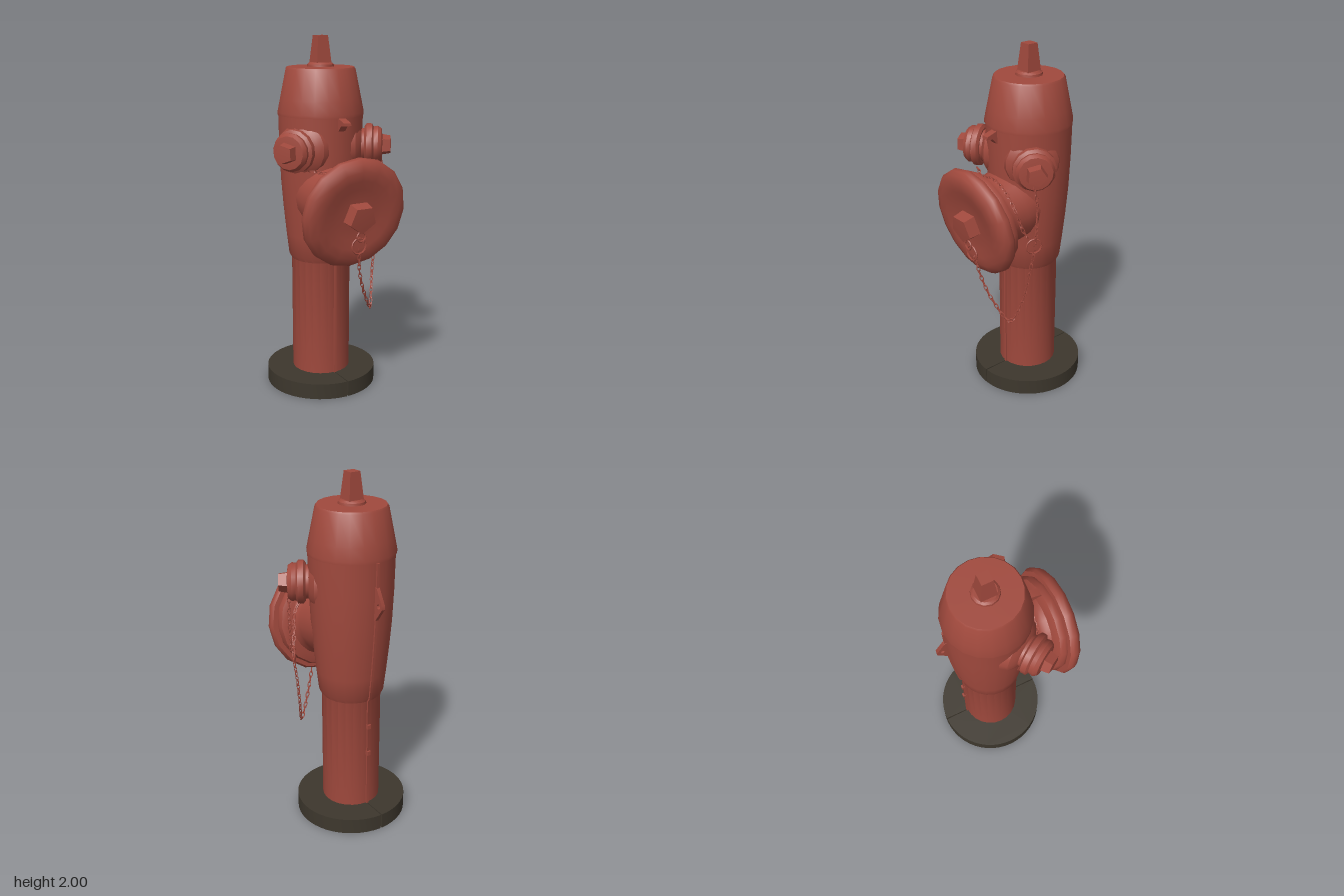
import * as THREE from 'three';
import { toCreasedNormals } from 'three/addons/utils/BufferGeometryUtils.js';

const AX = 0.01, AZ = -0.08; // vertical axis of the barrel
const UP = new THREE.Vector3(0, 1, 0);

const red = new THREE.MeshStandardMaterial({ color: 0xa0493d });
red.name = 'red paint';
const dark = new THREE.MeshStandardMaterial({ color: 0x3d372d });
dark.name = 'dark iron';

function mesh(parent, name, geometry, material = red, crease = 0.6) {
  const m = new THREE.Mesh(toCreasedNormals(geometry, crease), material);
  m.name = name;
  parent.add(m);
  return m;
}

function lathe(points, segments) {
  return new THREE.LatheGeometry(points.map(([r, y]) => new THREE.Vector2(r, y)), segments);
}

// group whose local y axis points along dir
function aimed(parent, name, pos, dir) {
  const g = new THREE.Group();
  g.name = name;
  g.position.set(...pos);
  g.quaternion.setFromUnitVectors(UP, new THREE.Vector3(...dir).normalize());
  parent.add(g);
  return g;
}

// thin plate drawn in (radius, height), standing out from the barrel axis
function fin(parent, name, points, width, turn, hole) {
  const s = new THREE.Shape(points.map(([x, y]) => new THREE.Vector2(x, y)));
  if (hole) {
    const h = new THREE.Path();
    h.absarc(hole[0], hole[1], hole[2], 0, Math.PI * 2, true);
    s.holes.push(h);
  }
  const geo = new THREE.ExtrudeGeometry(s, { depth: width, bevelEnabled: false, curveSegments: 5 });
  geo.translate(0, 0, -width / 2);
  const m = mesh(parent, name, geo);
  m.position.set(AX, 0, AZ);
  m.rotation.y = turn;
  return m;
}

// oval links, alternately turned, along a curve
function chain(parent, name, points) {
  const curve = new THREE.CatmullRomCurve3(points.map(p => new THREE.Vector3(...p)));
  const count = Math.round(curve.getLength() / 0.031);
  const link = new THREE.TorusGeometry(0.011, 0.0032, 4, 8);
  link.scale(0.8, 1.8, 1);
  const g = new THREE.Group();
  g.name = name;
  for (let i = 0; i <= count; i++) {
    const m = mesh(g, 'chainLink', link, red, 1.2);
    m.position.copy(curve.getPointAt(i / count));
    m.quaternion.setFromUnitVectors(UP, curve.getTangentAt(i / count));
    m.rotateY(0.4 + (i % 2) * Math.PI / 2);
  }
  parent.add(g);
}

function ring(parent, name, radius, pos, turn = 0) {
  const m = mesh(parent, name, new THREE.TorusGeometry(radius, 0.005, 5, 12), red, 1.2);
  m.position.set(...pos);
  m.rotation.y = turn;
}

export function createModel() {
  const root = new THREE.Group();
  root.name = 'fireHydrant';

  // base flange in two halves with a narrow slit between them
  for (const side of [0, 1]) {
    const a = Math.PI / 2 - 0.012, s = new THREE.Shape();
    s.absarc(0, 0, 0.314, -a, a, false);
    s.absarc(0, 0, 0.16, a, -a, true);
    const geo = new THREE.ExtrudeGeometry(s, { depth: 0.09, bevelEnabled: false, curveSegments: 12 });
    geo.rotateX(-Math.PI / 2);
    const half = mesh(root, 'baseFlange', geo, dark);
    half.position.set(AX, 0, AZ);
    half.rotation.y = side * Math.PI;
  }

  // post and swelling barrel
  const wall = [[0.165, 0.003], [0.166, 0.755], [0.182, 0.78], [0.196, 0.9],
    [0.211, 1.05], [0.223, 1.2], [0.231, 1.38], [0.235, 1.578]];
  const body = mesh(root, 'barrel', lathe([[0, 0.003], ...wall, [0, 1.578]], 24));
  body.position.set(AX, 0, AZ);

  // bonnet and its collar
  const bonnet = mesh(root, 'bonnet', lathe([[0, 1.574], [0.239, 1.574], [0.24, 1.59], [0.226, 1.66],
    [0.193, 1.822], [0.186, 1.832], [0, 1.834]], 20));
  bonnet.position.set(AX, 0, AZ);
  const collar = mesh(root, 'topCollar', lathe([[0.075, 1.83], [0.072, 1.846], [0.06, 1.856], [0, 1.856]], 12));
  collar.position.set(AX, 0, AZ);

  // tapered square operating nut
  const nut = new THREE.CylinderGeometry(0.043, 0.063, 0.146, 4);
  nut.rotateY(Math.PI / 4);
  mesh(root, 'operatingNut', nut).position.set(AX, 1.927, AZ);

  // casting seams and lugs
  const off = 0.009;
  fin(root, 'backSeam', [[0.1, 0.09], ...wall.slice(1).map(([r, y]) => [r + off, Math.min(y, 1.572)]),
    [0.1, 1.572]].toSpliced(1, 0, [0.165 + off, 0.09]), 0.014, Math.PI / 2);
  fin(root, 'frontSeam', [[0.1, 0.09], [0.172, 0.09], [0.172, 0.76], [0.1, 0.76]], 0.014, -Math.PI / 2);
  fin(root, 'backLug', [[0.2, 1.25], [0.236, 1.26], [0.29, 1.335], [0.29, 1.36], [0.244, 1.44], [0.2, 1.45]],
    0.02, Math.PI / 2, [0.262, 1.347, 0.014]);
  fin(root, 'frontLug', [[0.2, 1.5], [0.235, 1.505], [0.26, 1.535], [0.298, 1.54], [0.296, 1.555], [0.235, 1.574],
    [0.2, 1.574]], 0.042, -Math.PI / 2);
  for (const y of [0.43, 0.6]) {
    mesh(root, 'seamBump', new THREE.BoxGeometry(0.02, 0.025, 0.03)).position.set(AX, y, AZ - 0.17);
  }

  // large front outlet, tipped slightly downward
  const outlet = aimed(root, 'frontOutlet', [0.01, 1.08, 0.32], [0, -0.18, 0.984]);
  mesh(outlet, 'outletNeck', lathe([[0, -0.35], [0.2, -0.35], [0.205, -0.24], [0.195, -0.17],
    [0.2, -0.14], [0.215, -0.11]], 20));
  mesh(outlet, 'outletCap', lathe([[0, -0.12], [0.235, -0.12], [0.27, -0.105], [0.278, -0.08], [0.272, -0.062],
    [0.3, -0.06], [0.31, -0.045], [0.309, -0.02], [0.292, 0.004], [0.25, 0.017], [0.2, 0.016],
    [0.15, 0.006], [0.09, 0.003], [0, 0.003]], 16), red, 0.8);
  mesh(outlet, 'outletNut', lathe([[0.088, -0.01], [0.08, 0.07], [0, 0.074]], 5));

  // two side outlets
  for (const s of [-1, 1]) {
    const side = aimed(root, s > 0 ? 'leftOutlet' : 'rightOutlet', [0.003, 1.405, AZ], [s * 0.84, 0, 0.54]);
    mesh(side, 'sideNeck', lathe([[0.16, 0.15], [0.142, 0.205], [0.115, 0.225], [0.092, 0.235], [0.09, 0.27]], 16));
    mesh(side, 'sideCap', lathe([[0, 0.25], [0.1, 0.25], [0.117, 0.262], [0.117, 0.292], [0.1, 0.302],
      [0.104, 0.325], [0.09, 0.346], [0.055, 0.35], [0, 0.35]], 14));
    mesh(side, 'sideNut', lathe([[0.062, 0.34], [0.052, 0.396], [0, 0.399]], 5));
  }

  // rings and chains
  ring(root, 'hookRing', 0.026, [0.02, 0.967, 0.348]);
  ring(root, 'hookRing', 0.043, [0.02, 0.91, 0.325]);
  ring(root, 'gatherRing', 0.042, [0.275, 0.98, 0.1], 1.2);
  chain(root, 'capChain', [[0.03, 0.87, 0.31], [0.05, 0.75, 0.285], [0.1, 0.62, 0.25], [0.18, 0.5, 0.19],
    [0.225, 0.64, 0.13], [0.25, 0.8, 0.11], [0.275, 0.94, 0.1]]);
  chain(root, 'leftChain', [[0.29, 1.33, 0.11], [0.298, 1.2, 0.1], [0.29, 1.02, 0.1]]);
  chain(root, 'rightChain', [[-0.16, 1.3, 0.14], [-0.08, 1.29, 0.17], [0.03, 1.31, 0.18], [0.13, 1.28, 0.185],
    [0.215, 1.19, 0.18], [0.24, 1.08, 0.15], [0.27, 1.0, 0.11]]);
  return root;
}
